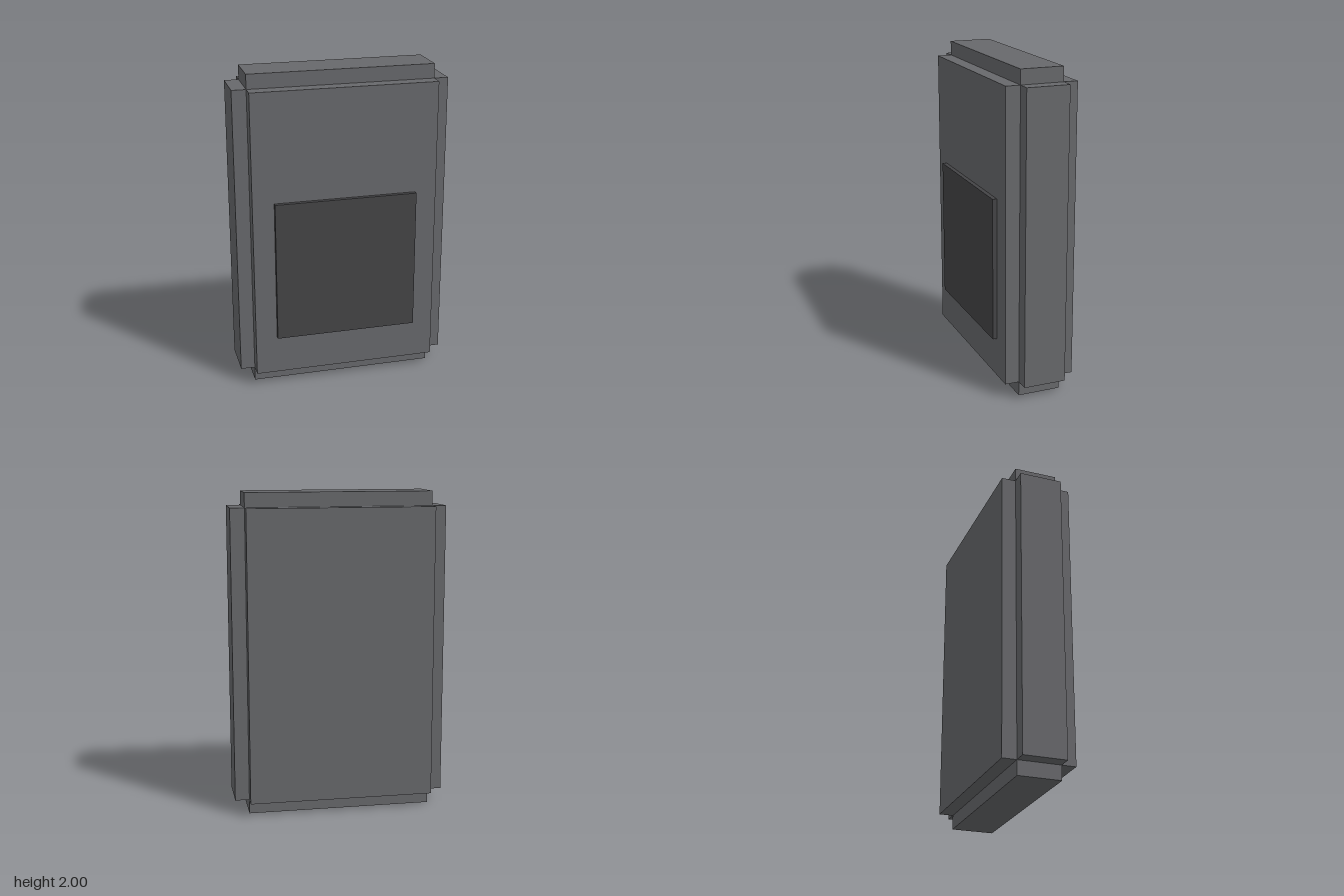
import * as THREE from 'three';

export function createModel() {
  const model = new THREE.Group();
  const casing = new THREE.MeshStandardMaterial({ color: 0x67686b });
  casing.name = 'casing grey';
  const dark = new THREE.MeshStandardMaterial({ color: 0x444446 });
  dark.name = 'panel dark grey';

  const box = (name, w, h, d, y, z, material) => {
    const mesh = new THREE.Mesh(new THREE.BoxGeometry(w, h, d), material);
    mesh.name = name;
    mesh.position.set(0, y, z);
    model.add(mesh);
  };

  // Three crossing slabs leave stepped notches along every edge
  const bodyZ = -0.0135;
  box('frontBackSlab', 1.154, 1.82, 0.443, 1, bodyZ, casing);
  box('sideSlab', 1.33, 1.82, 0.266, 1, bodyZ, casing);
  box('topBottomSlab', 1.154, 2, 0.266, 1, bodyZ, casing);

  // Raised panel on the lower front
  box('frontPanel', 0.888, 0.888, 0.03, 0.779, 0.22, dark);

  return model;
}
